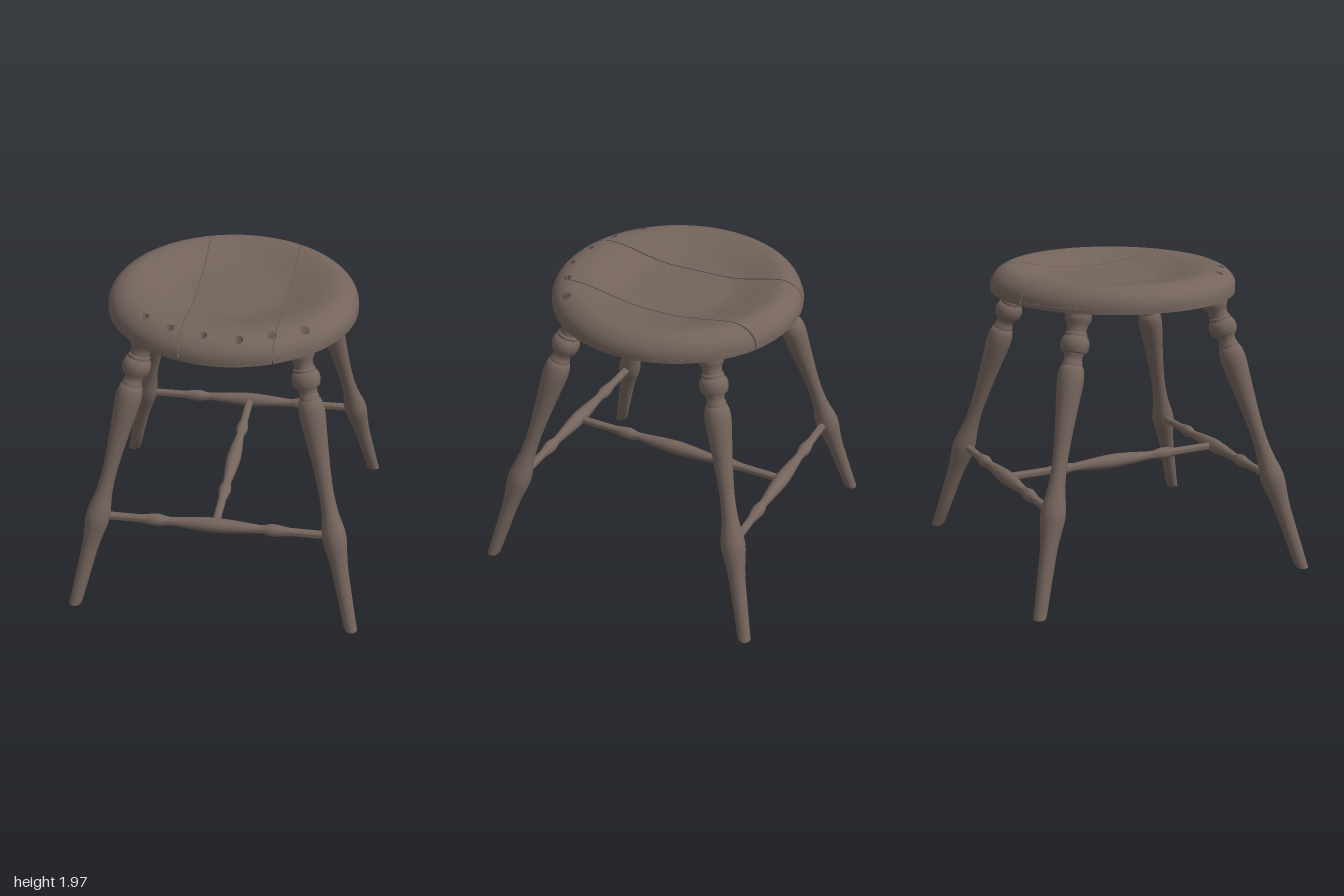
import * as THREE from 'three';
import { toCreasedNormals } from 'three/addons/utils/BufferGeometryUtils.js';

const wood = new THREE.MeshStandardMaterial({ color: 0x74645c });
wood.name = 'brown wood';

const { smoothstep, lerp } = THREE.MathUtils;
const SEAT_R = 0.81;

function addMesh(group, name, geometry) {
  const mesh = new THREE.Mesh(geometry, wood);
  mesh.name = name;
  group.add(mesh);
  return mesh;
}

function turned(profile, sides = 28) {
  return new THREE.LatheGeometry(profile.map(([r, y]) => new THREE.Vector2(r, y)), sides);
}

// Seat heights as a function of position: rounded rim, dished middle, thin underside edge
function seatTop(x, z) {
  const r = Math.min(Math.hypot(x, z), SEAT_R);
  const dish = 1 - smoothstep(Math.hypot(x, z + 0.04), 0.28, 0.68);
  const e = Math.max(0, (r - 0.66) / (SEAT_R - 0.66));
  return 1.842 + 0.13 * Math.sqrt(Math.max(0, 1 - e * e)) - 0.075 * dish;
}

function seatBottom(x, z) {
  return 1.793 + 0.024 * smoothstep(Math.hypot(x, z), 0.54, 0.7);
}

// Row of drilled holes along the front rim
const HOLE_R = 0.031;
const holes = [[-0.48, 0.52], [-0.3, 0.64], [-0.085, 0.7], [0.135, 0.71], [0.33, 0.63], [0.52, 0.52]];

// Snap nearby vertices to the hole's circle and sink those inside it
function drill(x, z, scale) {
  for (const [hx, hz] of holes) {
    const dx = x - hx * scale, dz = z - hz * scale;
    const d = Math.hypot(dx, dz);
    if (d < HOLE_R * 0.75) return [x, z, 1];
    if (d < HOLE_R * 1.25) return [hx * scale + dx * HOLE_R / d, hz * scale + dz * HOLE_R / d, 0];
  }
  return [x, z, 0];
}

// One plank: a box whose vertices are moved onto the seat between two x limits
function plank(left, right) {
  const geo = new THREE.BoxGeometry(1, 1, 1, 56, 1, 112);
  const p = geo.attributes.position;
  const a = Math.asin(left.x / SEAT_R), b = Math.asin(right.x / SEAT_R);
  for (let i = 0; i < p.count; i++) {
    const u = p.getX(i) + 0.5, isTop = p.getY(i) > 0;
    const x0 = SEAT_R * Math.sin(lerp(a, b, u));
    const half = Math.sqrt(Math.max(0, SEAT_R * SEAT_R - x0 * x0));
    const z0 = half * Math.sin(p.getZ(i) * Math.PI);
    const xs = x0 + lerp(left.skew, right.skew, u) * z0;
    const [x, z, sunk] = drill(xs, z0, isTop ? 1 : 0.87);
    const y = isTop ? seatTop(x, z) - 0.055 * sunk : seatBottom(x, z) + 0.025 * sunk;
    p.setXYZ(i, x, y - 0.008 * z, z);
  }
  return toCreasedNormals(geo, 0.6);
}

// Leg profile: [radius, height], turned with foot, swell, vase, bead and collar
const legProfile = [
  [0, -0.015], [0.041, -0.015], [0.042, 0.03], [0.047, 0.2], [0.053, 0.38], [0.06, 0.46],
  [0.071, 0.53], [0.078, 0.58], [0.079, 0.62], [0.074, 0.66], [0.062, 0.72], [0.053, 0.78],
  [0.048, 0.86], [0.048, 0.94], [0.054, 1.05], [0.064, 1.17], [0.075, 1.29], [0.083, 1.37],
  [0.084, 1.41], [0.08, 1.45], [0.07, 1.48], [0.063, 1.485], [0.063, 1.505], [0.056, 1.515],
  [0.058, 1.54], [0.067, 1.56], [0.08, 1.565], [0.089, 1.585], [0.092, 1.61], [0.088, 1.635],
  [0.076, 1.655], [0.071, 1.658], [0.071, 1.675], [0.062, 1.682], [0.061, 1.705], [0.068, 1.73],
  [0.081, 1.75], [0.083, 1.765], [0.083, 1.85], [0, 1.85],
];

function leg(sx, sz) {
  const foot = new THREE.Vector3(0.917 * sx, 0, 0.955 * sz);
  const top = new THREE.Vector3(0.485 * sx, 1.83, 0.47 * sz);
  const dir = top.clone().sub(foot);
  const stretch = dir.length() / 1.83;
  const geo = turned(legProfile.map(([r, y]) => [r, y * stretch]));
  geo.applyQuaternion(new THREE.Quaternion().setFromUnitVectors(new THREE.Vector3(0, 1, 0), dir.normalize()));
  geo.translate(foot.x, foot.y, foot.z);
  // Cut the foot level with the floor
  const p = geo.attributes.position;
  for (let i = 0; i < p.count; i++) p.setY(i, Math.max(0, p.getY(i)));
  return toCreasedNormals(geo, 0.7);
}

// Stretcher: slim rod with a long central swell and a bead on each side
function stretcher(half) {
  const side = [
    [0.049, 0], [0.048, 0.04], [0.043, 0.12], [0.034, 0.22], [0.028, 0.29], [0.03, 0.32],
    [0.038, 0.35], [0.042, 0.38], [0.039, 0.41], [0.031, 0.46], [0.027, 0.49], [0.027, half], [0, half],
  ];
  const lower = side.slice(1).reverse().map(([r, y]) => [r, -y]);
  return toCreasedNormals(turned([...lower, ...side], 20), 0.7);
}

export function createModel() {
  const model = new THREE.Group();
  model.name = 'stool';

  // Seat of three planks with narrow gaps
  const seat = new THREE.Group();
  seat.name = 'seat';
  const gap = 0.004;
  const cutA = { x: -0.238, skew: 0.022 }, cutB = { x: 0.357, skew: -0.009 };
  const moved = (cut, d) => ({ x: cut.x + d, skew: cut.skew });
  addMesh(seat, 'rightPlank', plank({ x: -SEAT_R, skew: 0 }, moved(cutA, -gap)));
  addMesh(seat, 'middlePlank', plank(moved(cutA, gap), moved(cutB, -gap)));
  addMesh(seat, 'leftPlank', plank(moved(cutB, gap), { x: SEAT_R, skew: 0 }));
  model.add(seat);

  // Four splayed legs
  for (const sx of [-1, 1]) for (const sz of [-1, 1]) {
    addMesh(model, (sz > 0 ? 'front' : 'back') + (sx > 0 ? 'Left' : 'Right') + 'Leg', leg(sx, sz));
  }

  // Front and back stretchers joined by a cross stretcher
  for (const sz of [-1, 1]) {
    const rail = addMesh(model, sz > 0 ? 'frontStretcher' : 'backStretcher', stretcher(0.76));
    rail.rotation.z = Math.PI / 2;
    rail.position.set(0, 0.612, 0.788 * sz);
  }
  const cross = addMesh(model, 'crossStretcher', stretcher(0.77));
  cross.rotation.x = Math.PI / 2;
  cross.position.y = 0.612;

  return model;
}
